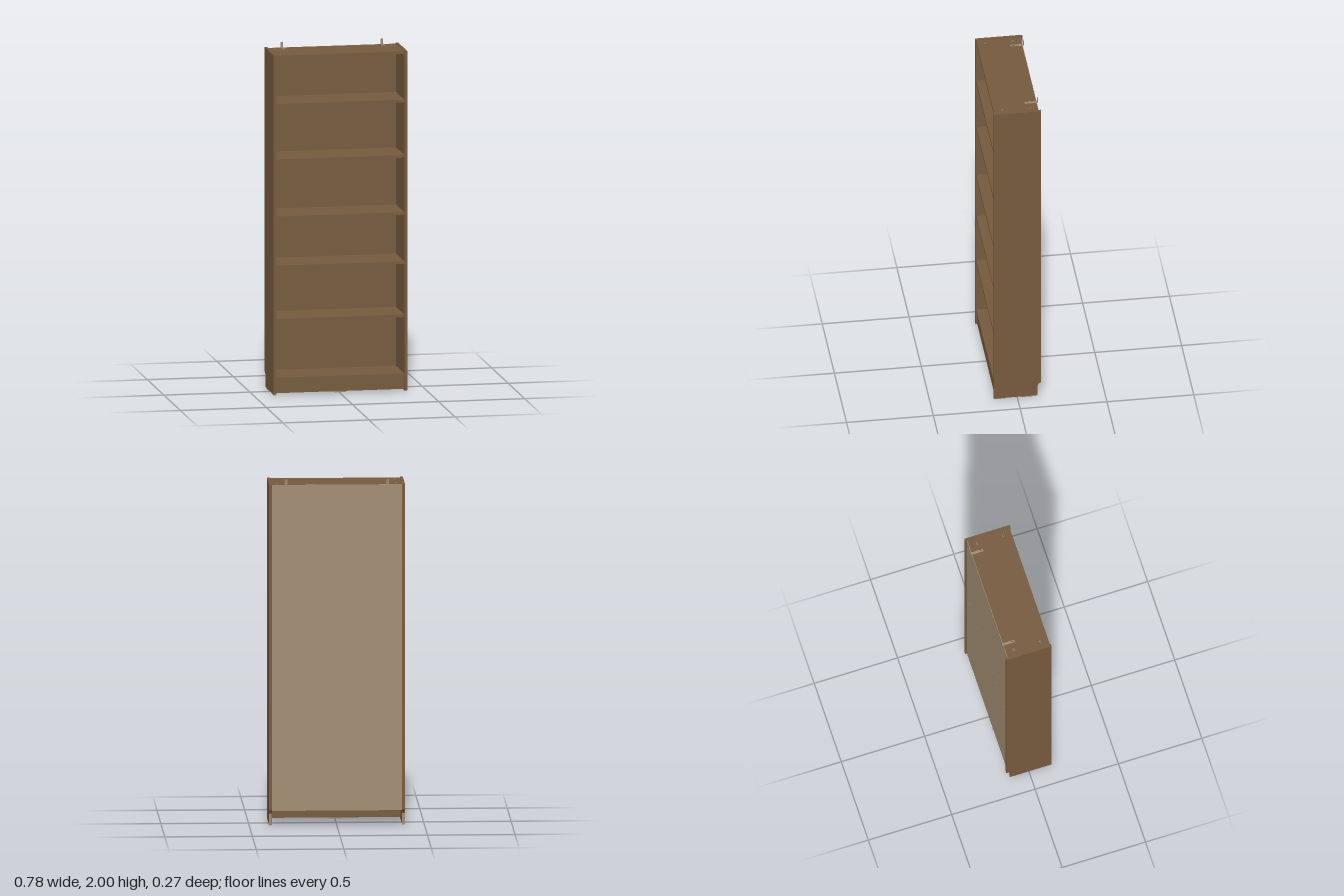
import * as THREE from 'three';

const mat = (name, color, side = THREE.FrontSide) => {
  const m = new THREE.MeshStandardMaterial({ color, side });
  m.name = name;
  return m;
};

export function createModel() {
  const wood = mat('brown veneer', 0x755a3d);
  const board = mat('raw board', 0xa18c73);
  const metal = mat('hardware', 0x9c8a74);
  const dark = mat('dark recess', 0x3a2c1d);
  const group = new THREE.Group();

  const add = (name, geo, material, x = 0, y = 0, z = 0) => {
    const m = new THREE.Mesh(geo, material);
    m.name = name;
    m.position.set(x, y, z);
    group.add(m);
    return m;
  };
  // box given by its lower and upper limits
  const box = (name, material, x0, x1, y0, y1, z0, z1) =>
    add(name, new THREE.BoxGeometry(x1 - x0, y1 - y0, z1 - z0), material,
      (x0 + x1) / 2, (y0 + y1) / 2, (z0 + z1) / 2);

  const inner = 0.372, outer = 0.388, top = 1.972;

  // side panel outline (shape x runs towards the front), skirting notch at the back
  const outline = new THREE.Shape();
  outline.moveTo(0.136, 0.006);
  outline.lineTo(0.136, top);
  outline.lineTo(-0.136, top);
  outline.lineTo(-0.136, 0.092);
  outline.quadraticCurveTo(-0.117, 0.088, -0.115, 0.07);
  outline.lineTo(-0.115, 0.006);
  const panel = new THREE.ExtrudeGeometry(outline, { depth: outer - inner, bevelEnabled: false, curveSegments: 6 });
  panel.rotateY(-Math.PI / 2);
  panel.translate((outer - inner) / 2, 0, 0);

  for (const s of [-1, 1]) {
    const cx = s * (inner + outer) / 2;
    add(s > 0 ? 'leftSide' : 'rightSide', panel, wood, cx);
    // unveneered edge of the notch
    box('notchEdge', board, cx - 0.0078, cx + 0.0078, 0.006, 0.07, -0.1156, -0.114);
    // glides under the side
    box('frontGlide', metal, cx - 0.006, cx + 0.006, 0, 0.006, 0.065, 0.134);
    box('rearGlide', metal, cx - 0.006, cx + 0.006, 0, 0.006, -0.09, -0.02);
    // dowel end on the top edge
    add('dowelEnd', new THREE.CylinderGeometry(0.002, 0.002, 0.001, 10), dark, cx, top, 0.098);
  }

  // top, shelves and plinth
  box('topPanel', wood, -inner, inner, 1.954, 1.969, -0.122, 0.131);
  [0.087, 0.428, 0.737, 1.022, 1.353, 1.674].forEach((y, i) =>
    box(i ? 'shelf' : 'bottomShelf', wood, -inner, inner, y, y + 0.015, -0.122, 0.131));
  box('plinth', wood, -inner, inner, 0.012, 0.087, 0.112, 0.127);
  box('plinthGlide', metal, -0.035, 0.035, 0.005, 0.012, 0.114, 0.125);

  // back panel: veneered inside, raw outside
  box('backPanelInside', wood, -inner, inner, 0.088, 1.968, -0.1225, -0.121);
  box('backPanelOutside', board, -inner, inner, 0.088, 1.969, -0.125, -0.1225);

  // nails through the back into the top, fixed shelf and bottom
  const nail = new THREE.CylinderGeometry(0.0035, 0.0035, 0.003, 8).rotateX(Math.PI / 2);
  for (const y of [0.095, 1.03, 1.962])
    for (const x of [0.11, 0.171, 0.327])
      for (const s of [-1, 1]) add('nail', nail, metal, s * x, y, -0.1262);

  // wall brackets, their screws and the cam fittings on the top
  const screw = new THREE.CylinderGeometry(0.005, 0.005, 0.002, 12);
  const cam = new THREE.CylinderGeometry(0.0065, 0.0065, 0.0015, 16);
  for (const s of [-1, 1]) {
    const x = s * 0.29;
    box('bracketPlate', metal, x - 0.007, x + 0.007, 1.969, 1.972, -0.129, -0.055);
    box('bracketUpright', metal, x - 0.007, x + 0.007, 1.969, 2.0, -0.131, -0.128);
    add('bracketScrew', screw, metal, x, 1.973, -0.087);
    box('bracketSlot', dark, x - 0.001, x + 0.001, 1.9718, 1.9724, -0.078, -0.062);
    for (const z of [-0.075, 0.082]) {
      add('camFitting', cam, metal, s * 0.339, 1.9694, z);
      for (const a of [Math.PI / 4, -Math.PI / 4]) {
        const slot = box('camSlot', dark, -0.004, 0.004, 1.97, 1.9706, -0.0008, 0.0008);
        slot.position.x = s * 0.339;
        slot.position.z = z;
        slot.rotation.y = a;
      }
    }
  }
  return group;
}
